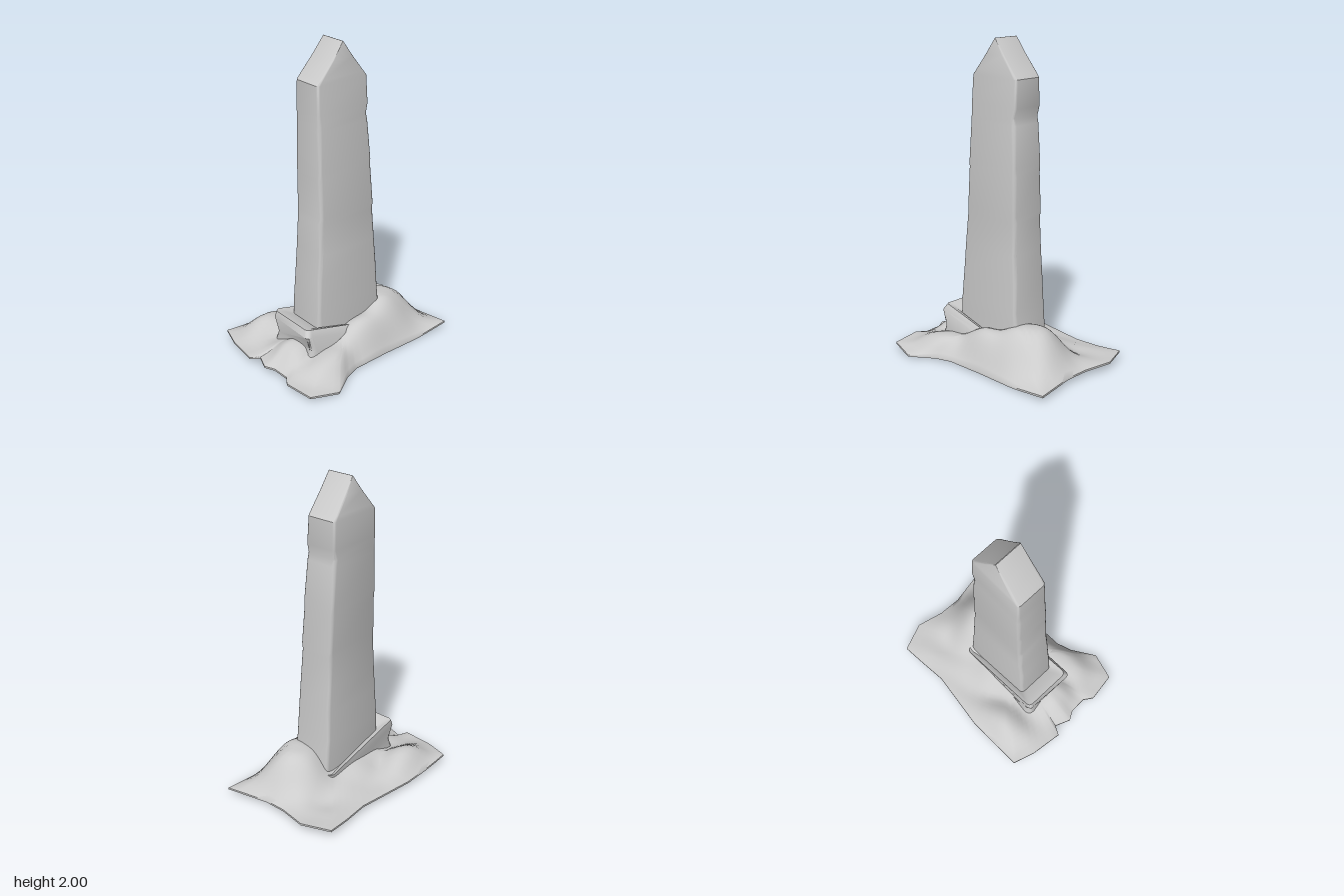
import * as THREE from 'three';
import { toCreasedNormals } from 'three/addons/utils/BufferGeometryUtils.js';

const material = new THREE.MeshStandardMaterial({ color: 0xcccccc, side: THREE.DoubleSide });

// Skin a stack of closed loops of [x, y, z] points, all with the same count.
function loft(name, rows, crease) {
  const n = rows[0].length;
  const index = [];
  for (let r = 0; r < rows.length - 1; r++) {
    for (let i = 0; i < n; i++) {
      const a = r * n + i, b = r * n + (i + 1) % n;
      index.push(a, a + n, b, b, a + n, b + n);
    }
  }
  const g = new THREE.BufferGeometry();
  g.setAttribute('position', new THREE.Float32BufferAttribute(rows.flat(2), 3));
  g.setIndex(index);
  g.computeVertexNormals();
  const mesh = new THREE.Mesh(toCreasedNormals(g, crease), material);
  mesh.name = name;
  return mesh;
}

// Rectangle with rounded corners, running from +x towards +z.
function roundedLoop(x0, x1, z0, z1, r, steps, height) {
  const loop = [];
  const corners = [[x1, z1, -1, -1], [x0, z1, 1, -1], [x0, z0, 1, 1], [x1, z0, -1, 1]];
  corners.forEach(([cx, cz, sx, sz], k) => {
    for (let s = 0; s <= steps; s++) {
      const a = (k + s / steps) * Math.PI / 2;
      const x = cx + sx * r + Math.cos(a) * r;
      const z = cz + sz * r + Math.sin(a) * r;
      loop.push([x, height(x, z), z]);
    }
  });
  return loop;
}

// Tapered shaft with worn edges and a ridged top.
function shaft() {
  // y, x min, x max, z min, z max, corner radius
  const profile = [
    [0.03, -0.135, 0.14, -0.23, 0.29, 0.02], [0.28, -0.135, 0.135, -0.215, 0.28, 0.025],
    [0.36, -0.135, 0.133, -0.205, 0.275, 0.02], [0.55, -0.13, 0.125, -0.2, 0.265, 0.025],
    [0.72, -0.128, 0.12, -0.185, 0.25, 0.02], [0.92, -0.127, 0.11, -0.18, 0.242, 0.028],
    [0.96, -0.13, 0.112, -0.178, 0.235, 0.02], [1.2, -0.132, 0.1, -0.168, 0.235, 0.025],
    [1.25, -0.135, 0.099, -0.165, 0.232, 0.018], [1.5, -0.135, 0.087, -0.15, 0.228, 0.025],
    [1.54, -0.135, 0.085, -0.14, 0.226, 0.022], [1.6, -0.135, 0.08, -0.153, 0.225, 0.016],
    [1.77, -0.135, 0.072, -0.15, 0.222, 0.02], [1.8, -0.133, 0.071, -0.125, 0.195, 0.015],
    [1.9, -0.125, 0.069, -0.045, 0.11, 0.012], [2, -0.115, 0.064, 0.029, 0.031, 0.001],
  ];
  return loft('shaft', profile.map(([y, x0, x1, z0, z1, r]) =>
    roundedLoop(x0, x1, z0, z1, r, 3, () => y)), 0.6);
}

// Broken collar around the foot of the shaft, highest at the front.
function collar() {
  const rise = (z, low) => low + 0.14 * THREE.MathUtils.smoothstep(z, -0.1, 0.36);
  const rows = [
    roundedLoop(-0.19, 0.21, -0.25, 0.41, 0.05, 4, () => 0.03),
    roundedLoop(-0.165, 0.2, -0.23, 0.375, 0.05, 4, (x, z) => rise(z, 0.07) - 0.07),
    roundedLoop(-0.175, 0.19, -0.23, 0.395, 0.03, 4, (x, z) => rise(z, 0.1)),
    roundedLoop(-0.172, 0.165, -0.225, 0.39, 0.03, 4, (x, z) => rise(z, 0.14)),
    roundedLoop(-0.15, 0.145, -0.215, 0.34, 0.03, 4, (x, z) => rise(z, 0.13)),
    roundedLoop(-0.1, 0.1, -0.18, 0.24, 0.03, 4, (x, z) => rise(z, 0.1)),
  ];
  // Hollows and bulges in the exposed rock face
  rows.slice(1, 3).forEach((row, k) => row.forEach(p => {
    p[2] += 0.015 * Math.sin(p[0] * 38 + k * 2);
    p[0] += 0.008 * Math.sin(p[2] * 30 + k);
  }));
  return loft('collar', rows, 0.7);
}

// Ragged slab of ground with mounds heaped against the shaft.
function ground() {
  const outline = [
    [0.335, -0.1], [0.345, 0.15], [0.38, 0.25], [0.48, 0.4], [0.43, 0.58], [0.24, 0.61],
    [0.18, 0.57], [0.07, 0.575], [0.01, 0.61], [-0.09, 0.57], [-0.12, 0.63], [-0.33, 0.605],
    [-0.475, 0.56], [-0.48, 0.17], [-0.43, -0.22], [-0.46, -0.55], [-0.28, -0.62],
    [-0.1, -0.58], [0.05, -0.575], [0.33, -0.63], [0.335, -0.35],
  ];
  const edge = [];
  outline.forEach(([x, z], i) => {
    const [u, v] = outline[(i + 1) % outline.length];
    for (let s = 0; s < 4; s++) edge.push([x + (u - x) * s / 4, z + (v - z) * s / 4]);
  });
  // x, z, height, x radius, z radius
  const mounds = [
    [0.06, -0.29, 0.25, 0.19, 0.22], [0.19, -0.08, 0.19, 0.13, 0.28],
    [0, 0.02, 0.14, 0.22, 0.38], [-0.33, 0.32, 0.105, 0.13, 0.18],
    [0.26, 0.3, 0.1, 0.12, 0.17], [0.05, 0.42, 0.12, 0.12, 0.12],
  ];
  const base = (x, z) => 0.015 - 0.025 * x + 0.09 * Math.max(0, Math.abs(z) - 0.4);
  const top = (x, z, t) => {
    let sum = 0;
    for (const [mx, mz, h, rx, rz] of mounds) {
      const d = Math.hypot((x - mx) / rx, (z - mz) / rz);
      sum += (h * Math.exp(-0.8 * d ** 2.6)) ** 3;
    }
    const ripple = 0.008 * Math.sin(x * 21 + z * 8) * Math.sin(z * 17 - x * 6);
    return base(x, z) + 0.012 + (Math.cbrt(sum) + ripple + 0.012) * (1 - t ** 8);
  };
  const rows = [];
  for (const t of [0.001, 0.35, 0.7, 1]) {
    rows.push(edge.map(([x, z]) => [x * t, base(x * t, z * t), z * t]));
  }
  for (let k = 20; k >= 0; k--) {
    const t = Math.max(k / 20, 0.001);
    rows.push(edge.map(([x, z]) => [x * t, top(x * t, z * t, t), z * t]));
  }
  return loft('ground', rows, 0.9);
}

export function createModel() {
  const model = new THREE.Group();
  model.name = 'obelisk';
  model.add(ground(), collar(), shaft());
  return model;
}
